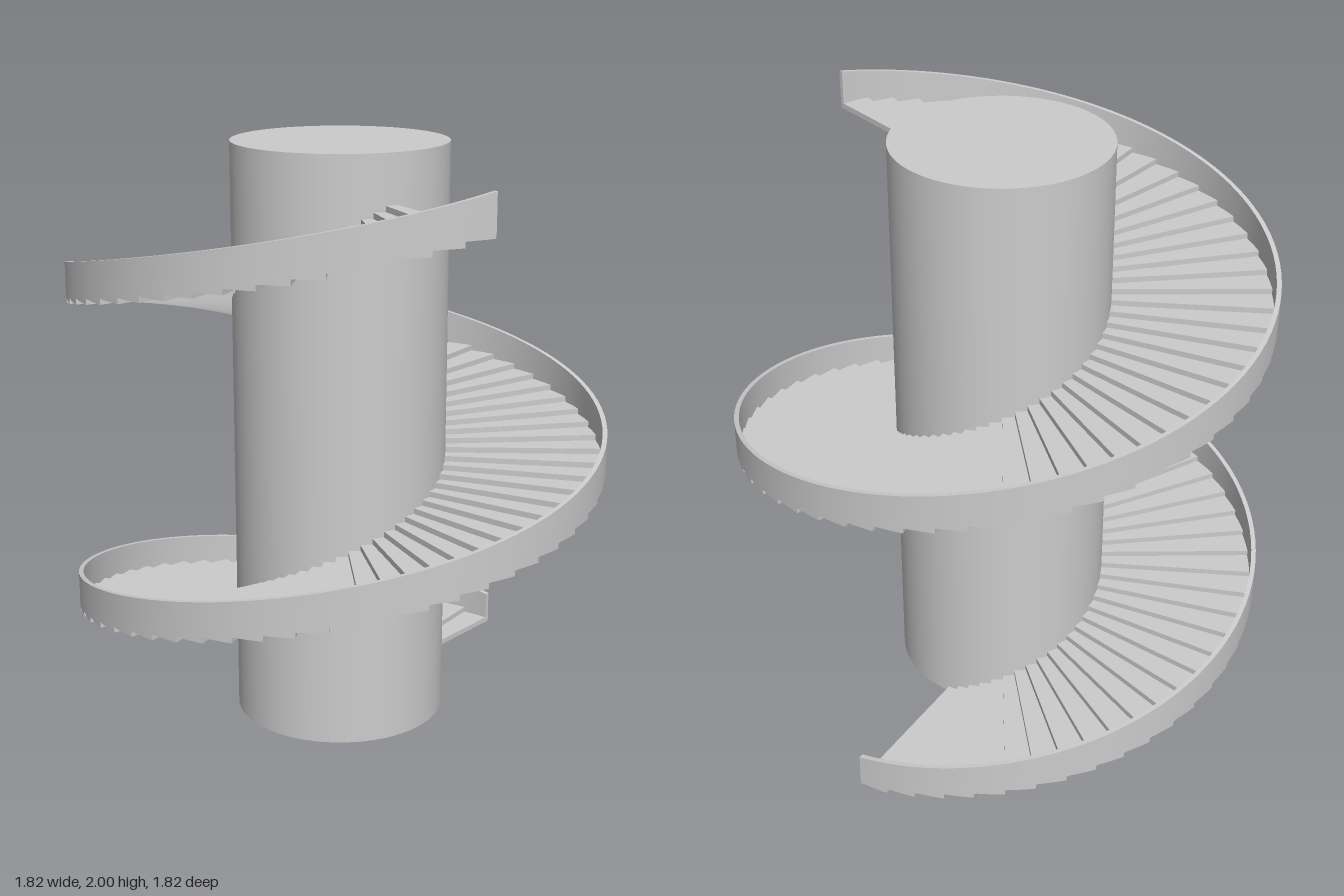
import * as THREE from 'three';
import { toCreasedNormals } from 'three/addons/utils/BufferGeometryUtils.js';

const DEG = Math.PI / 180;
const STEPS = 95;
const START = -3.8 * DEG;          // angle from +x, turning towards -z
const SWEEP = 610 * DEG;
const RISE = 1.835;
const COLUMN_R = 0.363, OUTER_R = 0.91;

// Rectangular wall section swept along a helix
function helixWall(rIn, rOut, height, segments) {
  const section = [[rIn, 0], [rOut, 0], [rOut, height], [rIn, height]];
  const pos = [], index = [];
  for (let k = 0; k <= segments; k++) {
    const t = k / segments, a = START + SWEEP * t;
    for (const [r, y] of section) pos.push(r * Math.cos(a), y + RISE * t, -r * Math.sin(a));
  }
  for (let k = 0; k < segments; k++) {
    for (let j = 0; j < 4; j++) {
      const a = k * 4 + j, b = k * 4 + (j + 1) % 4;
      index.push(a, a + 4, b + 4, a, b + 4, b);
    }
  }
  // end caps
  const e = segments * 4;
  index.push(0, 1, 2, 0, 2, 3, e, e + 2, e + 1, e, e + 3, e + 2);
  const geo = new THREE.BufferGeometry();
  geo.setAttribute('position', new THREE.Float32BufferAttribute(pos, 3));
  geo.setIndex(index);
  return toCreasedNormals(geo, 40 * DEG);
}

// Wedge-shaped slab for one step
function stepGeometry(angle, height) {
  const shape = new THREE.Shape();
  shape.absarc(0, 0, OUTER_R - 0.002, 0, angle, false);
  shape.absarc(0, 0, COLUMN_R - 0.003, angle, 0, true);
  shape.closePath();
  const geo = new THREE.ExtrudeGeometry(shape, { depth: height, bevelEnabled: false, curveSegments: 3 });
  return geo.rotateX(-Math.PI / 2);
}

export function createModel() {
  const model = new THREE.Group();
  model.name = 'spiralStaircase';
  const stone = new THREE.MeshStandardMaterial({ color: 0xcccccc });
  stone.name = 'lightGrey';

  // Central column
  const column = new THREE.Mesh(new THREE.CylinderGeometry(COLUMN_R, COLUMN_R, 2, 64), stone);
  column.name = 'column';
  column.position.y = 1;
  model.add(column);

  // Steps winding up the column
  const steps = new THREE.Group();
  steps.name = 'steps';
  const geo = stepGeometry(SWEEP / STEPS, RISE / STEPS);
  for (let i = 0; i < STEPS; i++) {
    const step = new THREE.Mesh(geo, stone);
    step.name = 'step';
    step.rotation.y = START + (SWEEP * i) / STEPS;
    step.position.y = (RISE * i) / STEPS;
    steps.add(step);
  }
  model.add(steps);

  // Outer parapet
  const parapet = new THREE.Mesh(helixWall(OUTER_R - 0.016, OUTER_R, 0.118, 190), stone);
  parapet.name = 'parapet';
  model.add(parapet);

  return model;
}
